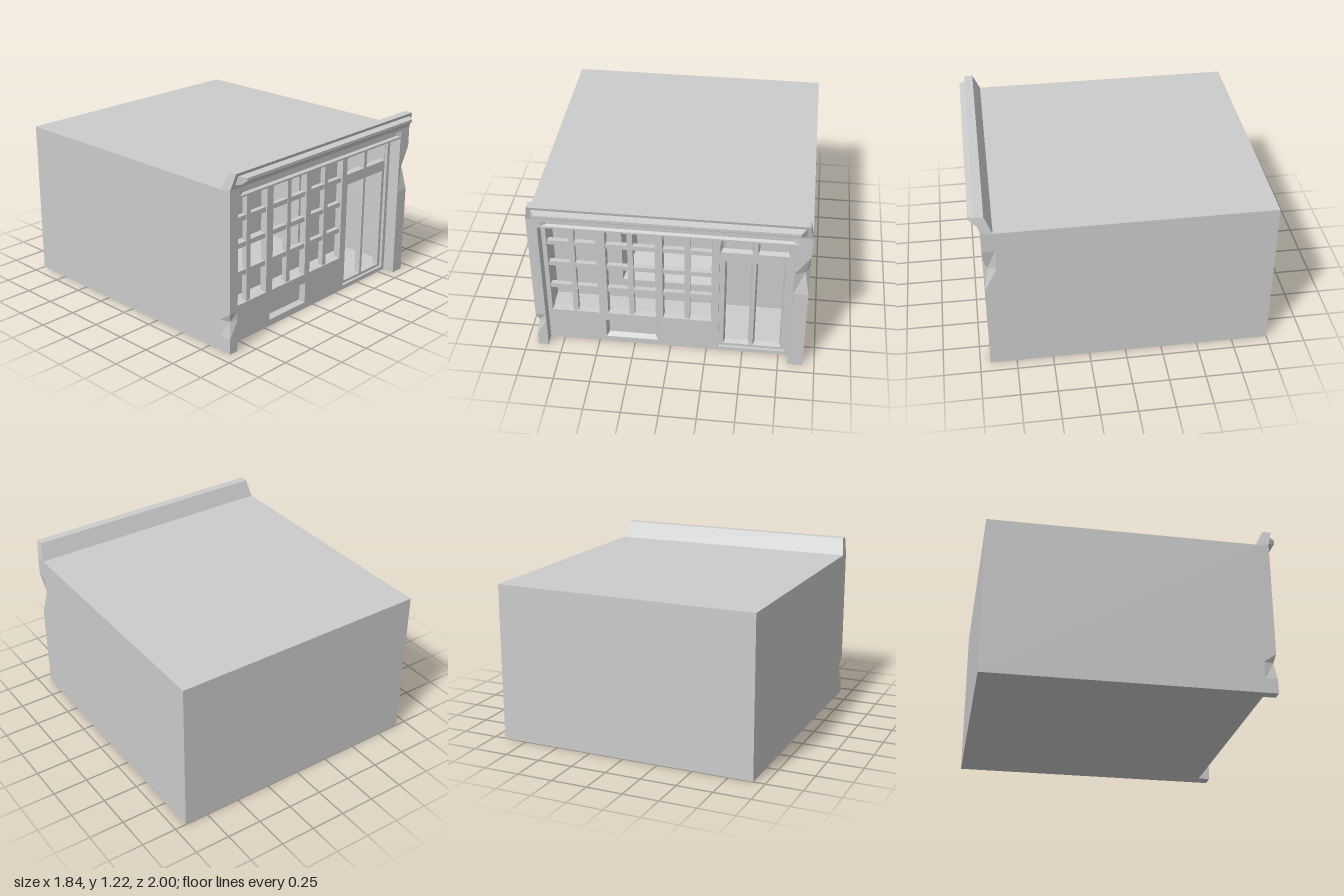
import * as THREE from 'three';
import { mergeGeometries } from 'three/addons/utils/BufferGeometryUtils.js';

const material = new THREE.MeshStandardMaterial({
  color: 0xcccccc, flatShading: true, side: THREE.DoubleSide,
});

// Rectangles are [x0, x1, y0, y1].
const corners = ([x0, x1, y0, y1]) => [[x0, y0], [x1, y0], [x1, y1], [x0, y1]];

// Flat sheet facing +z with rectangular holes.
function sheet(rect, z, holes = []) {
  const points = (r) => corners(r).map(([x, y]) => new THREE.Vector2(x, y));
  const shape = new THREE.Shape(points(rect));
  for (const h of holes) shape.holes.push(new THREE.Path(points(h).reverse()));
  return new THREE.ShapeGeometry(shape).toNonIndexed().translate(0, 0, z);
}

// Four walls joining a front rectangle to a back one, facing inwards.
function tunnel(front, zf, back, zb) {
  const f = corners(front), b = corners(back), pos = [], uv = [];
  for (let i = 0; i < 4; i++) {
    const j = (i + 1) % 4;
    const A = [...f[i], zf], B = [...f[j], zf], C = [...b[j], zb], D = [...b[i], zb];
    pos.push(...A, ...B, ...C, ...A, ...C, ...D);
    uv.push(0, 0, 1, 0, 1, 1, 0, 0, 1, 1, 0, 1);
  }
  const g = new THREE.BufferGeometry();
  g.setAttribute('position', new THREE.Float32BufferAttribute(pos, 3));
  g.setAttribute('uv', new THREE.Float32BufferAttribute(uv, 2));
  g.computeVertexNormals();
  return g;
}

const inset = ([a, b, c, d], t) => [a + t, b - t, c + t, d - t];

function box([x0, x1, y0, y1], z0, z1, ySegments = 1) {
  return new THREE.BoxGeometry(x1 - x0, y1 - y0, z1 - z0, 1, ySegments, 1)
    .translate((x0 + x1) / 2, (y0 + y1) / 2, (z0 + z1) / 2);
}

// Extrude a (z, y) profile along x, centred on x = 0.
function alongX(profile, length) {
  const shape = new THREE.Shape(profile.map(([z, y]) => new THREE.Vector2(z, y)));
  return new THREE.ExtrudeGeometry(shape, { depth: length, bevelEnabled: false })
    .rotateY(-Math.PI / 2).translate(length / 2, 0, 0);
}

function moveVertices(g, rule) {
  const p = g.attributes.position, v = new THREE.Vector3();
  for (let i = 0; i < p.count; i++) {
    rule(v.fromBufferAttribute(p, i));
    p.setXYZ(i, v.x, v.y, v.z);
  }
  g.computeVertexNormals();
  return g;
}

// Corner pillar with a chip in its outer front edge between three heights.
function pillar(rect, outerX, heights, chip) {
  const levels = [rect[2], ...heights, rect[3]];
  const g = box(rect, 0.845, 0.93, 4);
  const step = (rect[3] - rect[2]) / 4;
  return moveVertices(g, (v) => {
    const k = Math.round((v.y - rect[2]) / step);
    v.y = levels[k];
    if (k === 2 && v.z > 0.92 && Math.abs(v.x - outerX) < 0.01) {
      v.x -= Math.sign(outerX) * chip;
      v.z -= chip;
    }
  });
}

export function createModel() {
  const group = new THREE.Group();
  const add = (name, ...geometries) => {
    const g = geometries.length > 1 ? mergeGeometries(geometries) : geometries[0];
    const mesh = new THREE.Mesh(g, material);
    mesh.name = name;
    group.add(mesh);
  };
  const front = 0.845, inner = 0.8, roomBack = 0.41;

  // Outer walls, roof and base, open at the front
  const hull = box([-0.92, 0.92, 0, 1.1], -1, front).toNonIndexed();
  const hullParts = ['position', 'normal', 'uv'];
  for (const key of hullParts) {
    const a = hull.attributes[key], n = a.itemSize;
    // Drop the +z side: triangles 8 and 9
    const kept = [...a.array.slice(0, 24 * n), ...a.array.slice(30 * n)];
    hull.setAttribute(key, new THREE.Float32BufferAttribute(kept, n));
  }
  hull.clearGroups();
  add('buildingShell', hull);

  // Room inside, with a tapered niche in its rear wall
  const room = [-0.89, 0.89, 0.03, 1.06];
  const niche = [-0.4, 0.34, 0.2, 0.97], nicheBack = inset(niche, 0.06);
  add('room', tunnel(room, inner, room, roomBack), sheet(room, roomBack, [niche]));
  add('niche', tunnel(niche, roomBack, nicheBack, 0.1), sheet(nicheBack, 0.1));

  // Shopfront panel with openings for windows, vent and door
  const windows = [[-0.82, -0.49], [-0.43, -0.1], [-0.05, 0.28]]
    .map(([a, b]) => [a, b, 0.26, 1.005]);
  const vent = [-0.45, -0.09, 0.045, 0.195], ventBack = inset(vent, 0.018);
  const door = [0.33, 0.79, 0.03, 1.02];
  const panel = [-0.85, 0.82, 0, 1.04];
  add('shopfrontPanel',
    sheet(panel, front, [...windows, vent, door]),
    sheet([-0.89, 0.89, 0, 1.06], inner, [...windows, door]));
  add('ventRecess', tunnel(vent, front, ventBack, 0.81), sheet(ventBack, 0.81));

  // Windows: bevelled reveal, one upright and three cross bars each
  for (const w of windows) {
    const [x0, x1, y0, y1] = w, mid = (x0 + x1) / 2;
    add('windowReveal', tunnel(w, front, inset(w, 0.006), inner));
    add('windowUpright', box([mid - 0.018, mid + 0.018, y0, y1], inner, 0.838));
    for (const y of [0.47, 0.665, 0.845]) {
      add('windowCrossBar', box([x0, x1, y - 0.017, y + 0.017], inner, 0.834));
    }
  }

  // Door set back in its frame, with two long panes and two top lights
  const panes = [
    [0.365, 0.547, 0.05, 0.785], [0.57, 0.763, 0.05, 0.785],
    [0.335, 0.547, 0.86, 1.012], [0.577, 0.786, 0.86, 1.012],
  ];
  const paneBacks = panes.map((p) => inset(p, 0.01));
  add('door',
    tunnel(door, front, door, 0.79),
    sheet(door, 0.825, panes),
    sheet(door, 0.79, paneBacks),
    ...panes.map((p, i) => tunnel(p, 0.825, paneBacks[i], 0.79)));

  // Corner pillars with worn edges
  add('rightPillar', pillar([-0.92, -0.85, 0, 1.04], -0.92, [0.1, 0.22, 0.28], 0.018));
  add('leftPillar', pillar([0.82, 0.92, 0, 1.04], 0.92, [0.64, 0.81, 0.96], 0.03));

  // Parapet with sloped back and tapered ends
  const parapet = alongX([
    [0.845, 1.04], [0.905, 1.04], [0.905, 1.1], [0.93, 1.11],
    [0.96, 1.22], [0.9, 1.22], [0.85, 1.1], [0.845, 1.1],
  ], 1.84);
  add('parapet', moveVertices(parapet, (v) => {
    if (v.y > 1.2) v.x *= 0.9 / 0.92;
  }));

  // Fascia board with a shallow bevelled groove
  const fascia = [-0.92, 0.92, 1.04, 1.11];
  const groove = [-0.83, 0.83, 1.053, 1.093], grooveBack = [-0.79, 0.79, 1.062, 1.088];
  add('fascia',
    sheet(fascia, 0.93, [groove]),
    tunnel(fascia, 0.93, fascia, 0.905),
    tunnel(groove, 0.93, grooveBack, 0.91),
    sheet(grooveBack, 0.91));

  // Cornice jutting forward, its ends mitred
  const cornice = alongX([
    [0.94, 1.14], [0.968, 1.145], [1, 1.17], [1, 1.19], [0.95, 1.2],
  ], 2);
  add('cornice', moveVertices(cornice, (v) => {
    v.x *= 0.885 - (v.z - 0.94) * 0.7;
  }));

  return group;
}
